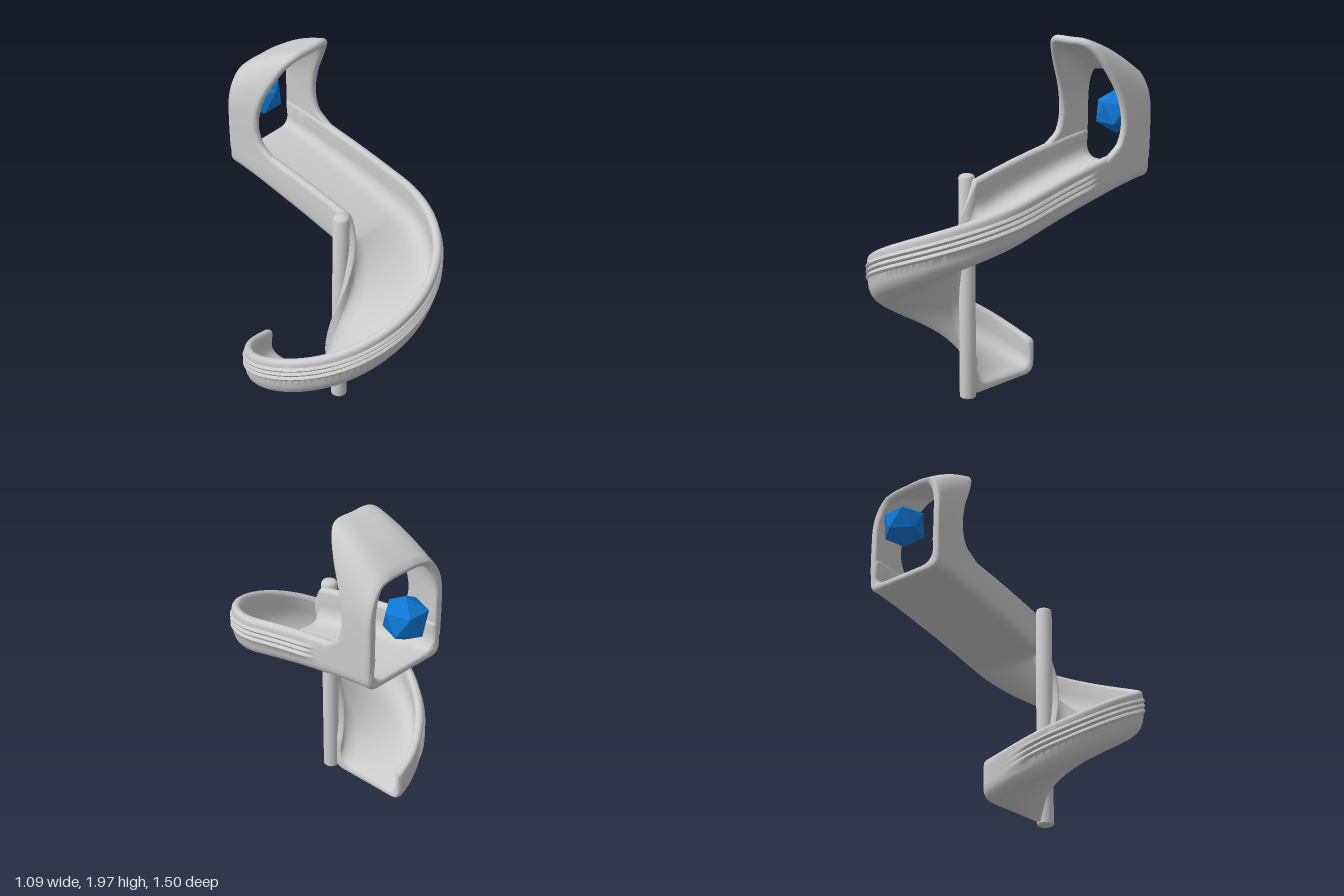
import * as THREE from 'three';
import { toCreasedNormals } from 'three/addons/utils/BufferGeometryUtils.js';

const grey = new THREE.MeshStandardMaterial({ color: 0xcccccc });
const blue = new THREE.MeshStandardMaterial({ color: 0x0f78d4, flatShading: true });
const POLE = { x: -0.01, z: 0.2, r: 0.045 };
const INNER = 0.03;   // distance of the channel from the pole axis
const WIDTH = 0.505;  // channel width
const WALL = 0.042;   // wall thickness
const BEAD = 0.025;   // radius of the rolled rim

// Skin a row of equal closed loops; caps holds optional 2D outlines for both ends
function loft(rows, caps) {
  const n = rows[0].length, index = [];
  for (let j = 0; j < rows.length - 1; j++) {
    for (let i = 0; i < n; i++) {
      const a = j * n + i, b = j * n + (i + 1) % n;
      index.push(a, b, a + n, b, b + n, a + n);
    }
  }
  if (caps) {
    const last = (rows.length - 1) * n;
    THREE.ShapeUtils.triangulateShape(caps[0], []).forEach(([a, b, c]) => index.push(a, c, b));
    THREE.ShapeUtils.triangulateShape(caps[1], []).forEach(([a, b, c]) => index.push(last + a, last + b, last + c));
  }
  const g = new THREE.BufferGeometry().setFromPoints(rows.flat());
  g.setIndex(index);
  return toCreasedNormals(g, 0.75);
}

// U-shaped channel section: h = wall height, rib = ridge depth, e = inset that rounds the ends
function channelSection(h, rib, e) {
  const pts = [], W = WIDTH, corner = h - 0.135;
  const bend = (ax, ay, bx, by, cx, cy) => pts.push(...new THREE.QuadraticBezierCurve(
    new THREE.Vector2(ax, ay), new THREE.Vector2(bx, by), new THREE.Vector2(cx, cy)).getPoints(6));
  const bead = (x) => {
    for (let i = 0; i <= 8; i++) {
      const a = Math.PI * i / 8;
      pts.push(new THREE.Vector2(x + (BEAD - e) * Math.cos(a), h - BEAD + (BEAD - e) * Math.sin(a)));
    }
  };
  bend(e, 0.06, e, e, 0.06, e);
  bend(W - corner, e, W - e, e, W - e, corner);
  for (let k = 1; k <= 12; k++) { // three ridges on the outer wall
    pts.push(new THREE.Vector2(W - e + rib * Math.abs(Math.sin(Math.PI * k / 4)), corner + 0.0075 * k));
  }
  bead(W - BEAD);
  bend(W - WALL + e, corner + 0.03, W - WALL + e, WALL - e, W - WALL - corner, WALL - e);
  bend(WALL + 0.08, WALL - e, WALL - e, WALL - e, WALL - e, 0.13);
  bead(BEAD);
  return pts;
}

// Underside height and wall height at every half step: p 0..1 straight run, 1..4 quarter turns
const descent = new THREE.SplineCurve([
  [1.23, 0.2], [1.14, 0.22], [1.02, 0.24], [0.88, 0.26], [0.71, 0.28],
  [0.53, 0.28], [0.34, 0.28], [0.15, 0.25], [0.01, 0.21],
].map(([y, h]) => new THREE.Vector2(y, h)));

function place(p, a, y) {
  const r = INNER + a;
  if (p <= 1) return new THREE.Vector3(POLE.x + r, y, -0.64 + p * 0.84);
  const t = (p - 1) * Math.PI / 2;
  return new THREE.Vector3(POLE.x + r * Math.cos(t), y, POLE.z + r * Math.sin(t));
}

function slideGeometry() {
  const end = 3.97;
  const stations = [[0, 0.014], [0.005, 0.005], [0.015, 0]];
  for (let i = 1; i < 88; i++) stations.push([0.015 + (end - 0.045) * i / 88, 0]);
  stations.push([end - 0.03, 0], [end - 0.01, 0.005], [end, 0.014]);
  const sections = stations.map(([p, e]) => {
    const h = descent.getPoint(p / 4).y;
    const rib = 0.011 * THREE.MathUtils.smoothstep(p, 0.42, 0.58) * (1 - THREE.MathUtils.smoothstep(p, 3.65, 3.8));
    return channelSection(h, rib, e);
  });
  const rows = sections.map((s, j) => {
    const p = stations[j][0], y = descent.getPoint(p / 4).x;
    return s.map((q) => place(p, q.x, y + q.y));
  });
  return loft(rows, [sections[0], sections[sections.length - 1]]);
}

// Hood: shell between an upright back arch and a forward-leaning front arch
function hoodGeometry() {
  const cx = POLE.x + INNER + WIDTH / 2, hw = WIDTH / 2 + 0.0015;
  const arch = (half) => {
    const left = half.map(([d, y, z]) => new THREE.Vector3(cx - d, y, z));
    const right = half.slice(0, -1).reverse().map(([d, y, z]) => new THREE.Vector3(cx + d, y, z));
    return new THREE.CatmullRomCurve3([...left, ...right], false, 'catmullrom', 0.5);
  };
  const back = arch([[hw, 1.34, -0.64], [hw, 1.4, -0.64], [hw, 1.45, -0.64], [hw, 1.53, -0.64], [0.252, 1.63, -0.64],
    [0.228, 1.72, -0.64], [0.175, 1.79, -0.637], [0.1, 1.812, -0.635], [0, 1.815, -0.633]]);
  const front = arch([[hw, 1.355, -0.29], [hw, 1.395, -0.36], [hw, 1.445, -0.42], [0.254, 1.55, -0.447], [0.243, 1.69, -0.42],
    [0.213, 1.84, -0.345], [0.17, 1.95, -0.285], [0.11, 1.998, -0.26], [0, 2.0, -0.257]]);
  const P = (u, v) => {
    const p = back.getPoint(u).lerp(front.getPoint(u), v);
    p.y += 0.025 * Math.sin(Math.PI * v) * Math.sin(Math.PI * u) ** 2;
    return p;
  };
  const T = 0.043, v0 = 0.02, v1 = 0.93, rows = [];
  for (let j = 0; j <= 72; j++) {
    const u = j / 72, outer = [], inner = [];
    const frame = (v) => {
      const du = P(Math.min(u + 0.004, 1), v).sub(P(Math.max(u - 0.004, 0), v));
      const dv = P(u, v + 0.01).sub(P(u, v - 0.01)).normalize();
      return { p: P(u, v), dv, n: du.cross(dv).normalize() };
    };
    for (let i = 0; i <= 10; i++) {
      const f = frame(v0 + (v1 - v0) * i / 10);
      outer.push(f.p);
      inner.unshift(f.p.clone().addScaledVector(f.n, T));
    }
    // rounded edge between the two skins
    const lip = (v, reach, flip) => {
      const f = frame(v), pts = [];
      for (let i = 1; i < 6; i++) {
        const a = Math.PI * i / 6, c = flip ? -Math.cos(a) : Math.cos(a);
        pts.push(f.p.clone().addScaledVector(f.n, T / 2 * (1 - c)).addScaledVector(f.dv, reach * Math.sin(a)));
      }
      return pts;
    };
    rows.push([...outer, ...lip(v1, T / 2, false), ...inner, ...lip(v0, -0.008, true)]);
  }
  return loft(rows);
}

export function createModel() {
  const group = new THREE.Group();
  const add = (name, geometry, material = grey) => {
    const mesh = new THREE.Mesh(geometry, material);
    mesh.name = name;
    group.add(mesh);
    return mesh;
  };

  add('spiralSlide', slideGeometry());
  add('entranceHood', hoodGeometry());

  // Centre pole with softened ends
  const r = POLE.r;
  const profile = [[0, 0.02], [r - 0.006, 0.02], [r, 0.026], [r, 1.262], [r - 0.006, 1.274], [r - 0.018, 1.28], [0, 1.28]]
    .map(([x, y]) => new THREE.Vector2(x, y));
  add('pole', toCreasedNormals(new THREE.LatheGeometry(profile, 24), 0.7)).position.set(POLE.x, 0, POLE.z);

  // Faceted ball standing on a corner
  const ball = new THREE.IcosahedronGeometry(0.125, 0);
  ball.rotateZ(Math.atan(2 / (1 + Math.sqrt(5)))).rotateY(Math.PI / 2);
  add('facetedBall', ball, blue).position.set(0.277, 1.555, -0.638);

  return group;
}
